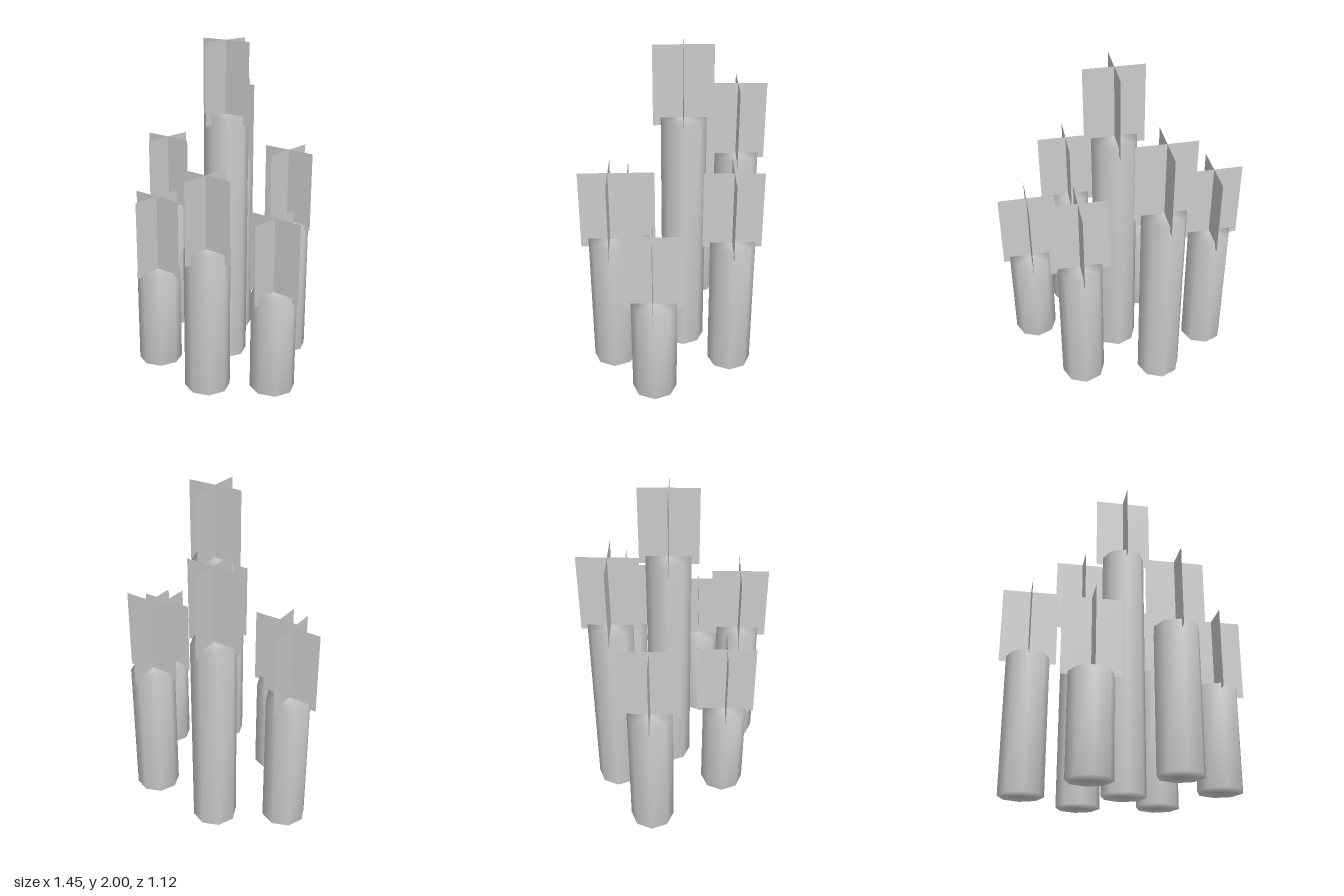
import * as THREE from 'three';
import { mergeVertices } from 'three/addons/utils/BufferGeometryUtils.js';

const RADIUS = 0.134;
const FLAME_WIDTH = 0.35;

// x, z, bottom, top of the wax, bottom and top of the flame
const CANDLES = [
  [0.028, -0.053, 0.005, 1.565, 1.515, 2.0],
  [-0.552, -0.147, 0.005, 0.865, 0.83, 1.32],
  [-0.194, -0.385, 0.005, 1.23, 1.2, 1.69],
  [0.291, -0.342, 0.015, 0.875, 0.845, 1.333],
  [0.547, 0.126, 0.01, 0.62, 0.583, 1.07],
  [0.257, 0.381, 0.02, 0.885, 0.83, 1.32],
  [-0.219, 0.297, 0, 0.61, 0.593, 1.08],
];

// Eight-sided column with normals shared between wall and caps
function waxGeometry(height) {
  const g = new THREE.CylinderGeometry(RADIUS, RADIUS, height, 8);
  g.deleteAttribute('uv');
  g.deleteAttribute('normal');
  const merged = mergeVertices(g);
  merged.computeVertexNormals();
  return merged;
}

export function createModel() {
  const model = new THREE.Group();
  model.name = 'candleCluster';
  const wax = new THREE.MeshStandardMaterial({ color: 0xcccccc });
  const card = new THREE.MeshStandardMaterial({ color: 0xcccccc, side: THREE.DoubleSide });

  for (const [x, z, y0, y1, f0, f1] of CANDLES) {
    const candle = new THREE.Group();
    candle.name = 'candle';
    candle.position.set(x, 0, z);

    const body = new THREE.Mesh(waxGeometry(y1 - y0), wax);
    body.name = 'waxColumn';
    body.position.y = (y0 + y1) / 2;
    candle.add(body);

    // Flame: two upright cards crossing at right angles
    const flame = new THREE.Group();
    flame.name = 'flame';
    flame.position.set(-0.002, (f0 + f1) / 2, 0.004);
    for (const turn of [0, Math.PI / 2]) {
      const plane = new THREE.Mesh(new THREE.PlaneGeometry(FLAME_WIDTH, f1 - f0), card);
      plane.name = 'flameCard';
      plane.rotation.y = turn;
      flame.add(plane);
    }
    candle.add(flame);
    model.add(candle);
  }
  return model;
}
